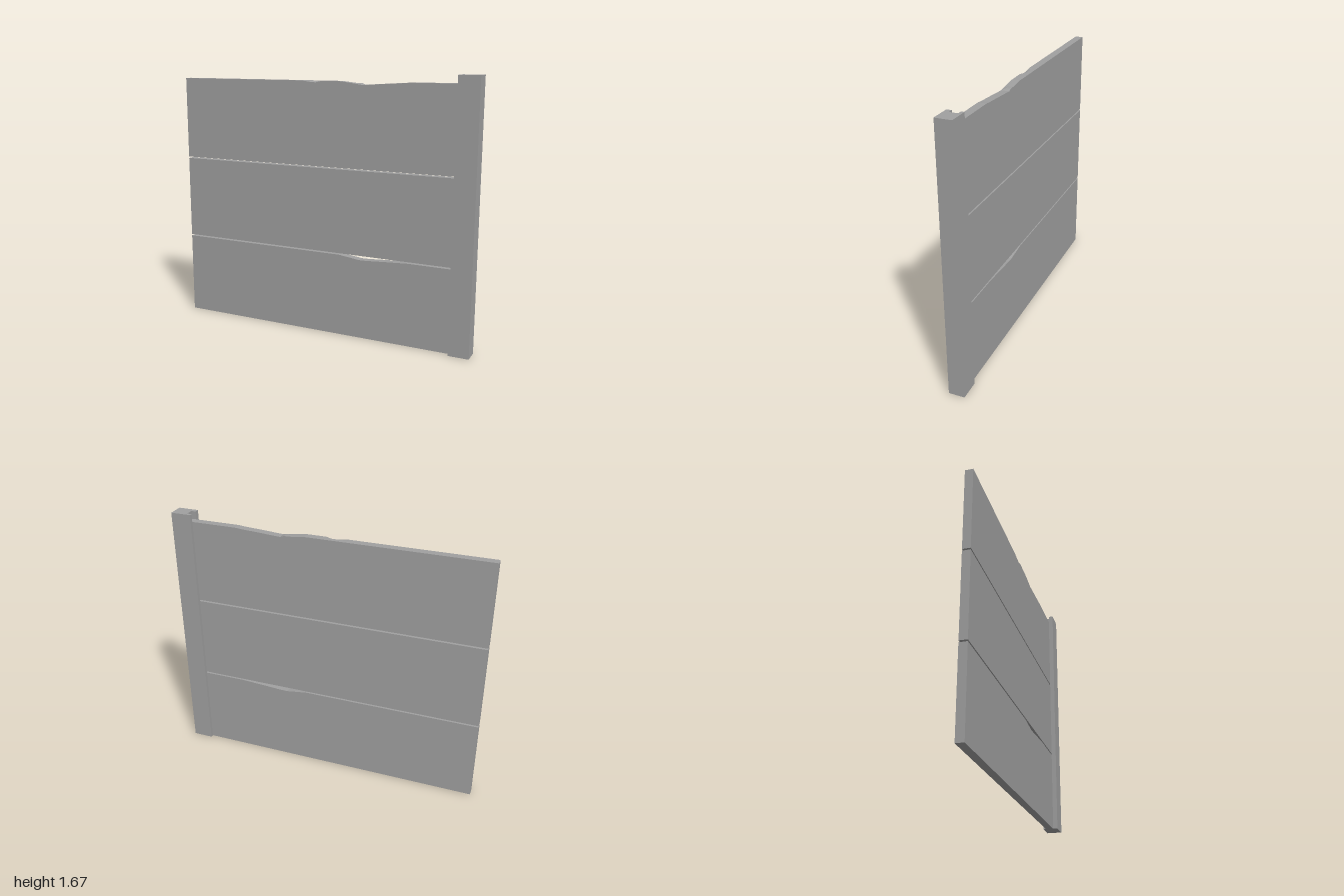
import * as THREE from 'three';

const BACK = -0.03, FRONT = 0.02, LEFT = -1, RIGHT = 0.9;

// Slab lofted along x; each station is [x, front top, middle top, back top]
function slab(name, bottom, stations, material) {
  const pos = [], idx = [], n = 5;
  for (const [x, front, mid, back] of stations) {
    pos.push(x, bottom, FRONT, x, front, FRONT, x, mid, 0, x, back, BACK, x, bottom, BACK);
  }
  for (let i = 0; i < stations.length - 1; i++) {
    for (let j = 0; j < n; j++) {
      const a = i * n + j, b = i * n + (j + 1) % n, c = a + n, d = b + n;
      idx.push(a, c, b, b, c, d);
    }
  }
  const e = (stations.length - 1) * n;
  for (let j = 1; j < n - 1; j++) {
    idx.push(0, j, j + 1); // left end
    idx.push(e, e + j + 1, e + j); // right end
  }
  const indexed = new THREE.BufferGeometry();
  indexed.setAttribute('position', new THREE.Float32BufferAttribute(pos, 3));
  indexed.setIndex(idx);
  const geometry = indexed.toNonIndexed();
  geometry.computeVertexNormals();
  const mesh = new THREE.Mesh(geometry, material);
  mesh.name = name;
  return mesh;
}

// Station heights given as drops below the top edge
const worn = (top, list) => list.map(([x, f, m = f, b = f]) => [x, top - f, top - m, top - b]);

export function createModel() {
  const group = new THREE.Group();
  group.name = 'slottedWall';
  const concrete = new THREE.MeshStandardMaterial({ color: 0xa0a0a0, flatShading: true });
  concrete.name = 'concreteGrey';

  // Lower slab with a worn dip in its upper edge
  group.add(slab('lowerSlab', 0, worn(0.533, [
    [LEFT, 0], [0.13, 0], [0.22, 0.011], [0.27, 0.018], [0.32, 0.017],
    [0.42, 0.01], [0.54, 0.003], [0.58, 0], [RIGHT, 0],
  ]), concrete));

  // Plain middle slab
  group.add(slab('middleSlab', 0.543, worn(1.08, [[LEFT, 0], [RIGHT, 0]]), concrete));

  // Upper slab with a front chip and a broken dip
  group.add(slab('upperSlab', 1.09, worn(1.62, [
    [LEFT, 0], [-0.13, 0], [-0.06, 0.009, 0, 0], [-0.03, 0.01, 0, 0], [0.01, 0],
    [0.13, 0], [0.22, 0.011, 0.01, 0.01], [0.26, 0.017, 0.012, 0.011],
    [0.285, 0.02], [0.33, 0.017], [0.42, 0.011], [0.54, 0.004], [0.58, 0], [RIGHT, 0],
  ]), concrete));

  // Post with a channel holding the slabs; section drawn in x and -z
  const section = new THREE.Shape([
    [0.87, -0.05], [1, -0.05], [1, 0.05], [0.87, 0.05],
    [0.87, -BACK], [RIGHT, -BACK], [RIGHT, -FRONT], [0.87, -FRONT],
  ].map(([x, y]) => new THREE.Vector2(x, y)));
  const postGeometry = new THREE.ExtrudeGeometry(section, { depth: 1.67, bevelEnabled: false });
  postGeometry.rotateX(-Math.PI / 2);
  const post = new THREE.Mesh(postGeometry, concrete);
  post.name = 'post';
  group.add(post);

  return group;
}
